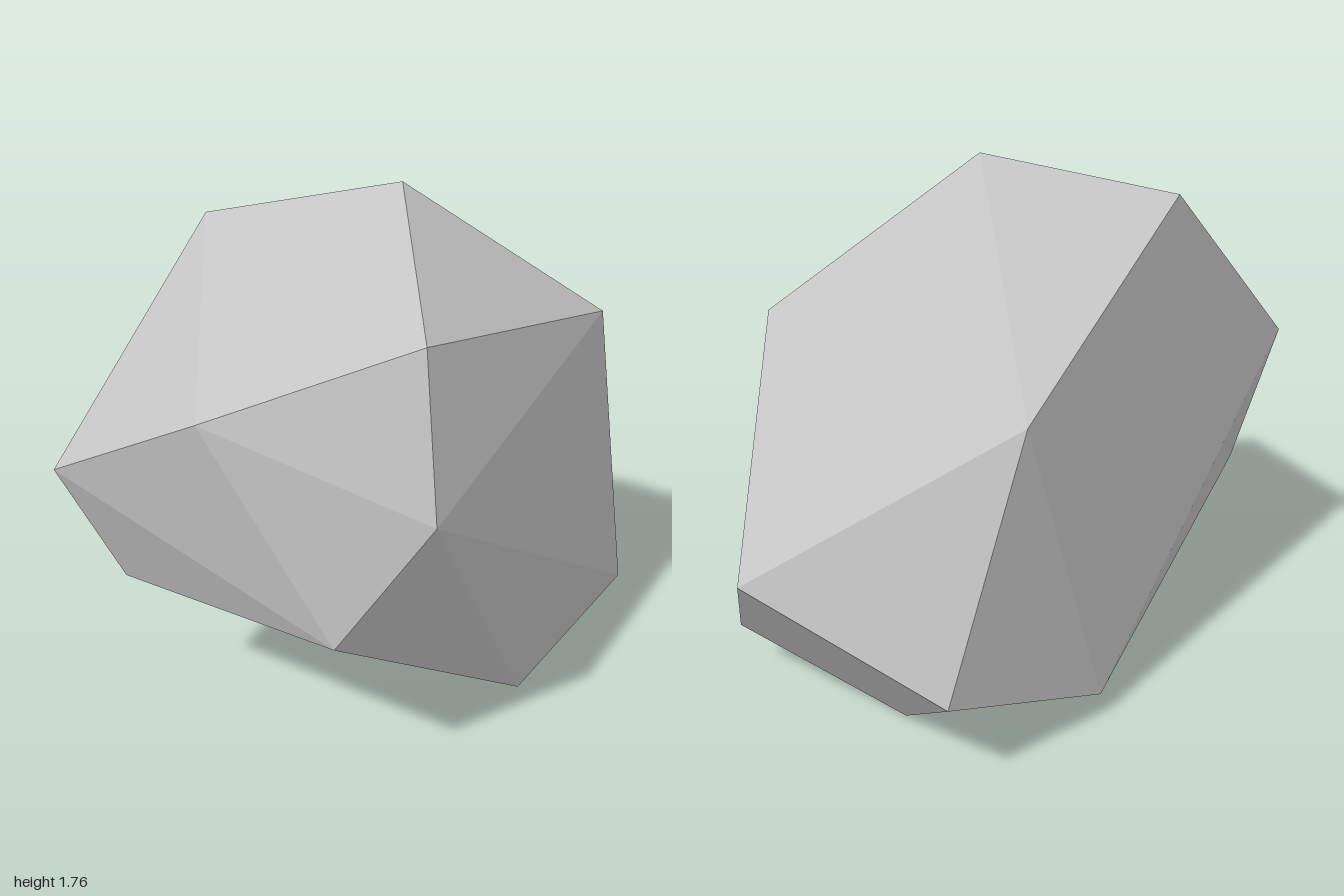
import * as THREE from 'three';
import { ConvexGeometry } from 'three/addons/geometries/ConvexGeometry.js';

export function createModel() {
  const group = new THREE.Group();
  group.name = 'rock';

  const stone = new THREE.MeshStandardMaterial({ color: 0xc5c5c5 });
  stone.name = 'light stone grey';

  // Corners of the boulder; its facets are the convex hull around them
  const corners = [
    // crown
    [0.02, 1.765, -0.025], [-0.33, 1.655, -0.52], [-0.49, 1.55, 0.47], [-0.96, 1.38, 0.07],
    // shoulders
    [0.52, 1.29, 0.41], [0.42, 1.15, -0.565], [-0.60, 1.09, 0.595], [-1.0, 1.04, -0.53],
    // waist
    [-0.80, 0.70, 0.39], [1.0, 0.655, 0.035], [-0.825, 0.585, -0.48], [0.715, 0.345, -0.53],
    // foot
    [0.68, 0.18, 0.475], [0.07, 0.09, -0.60], [0.50, 0.01, -0.135], [0.10, 0, 0.43],
  ].map((c) => new THREE.Vector3(...c));

  const boulder = new THREE.Mesh(new ConvexGeometry(corners), stone);
  boulder.name = 'boulder';
  group.add(boulder);
  return group;
}
